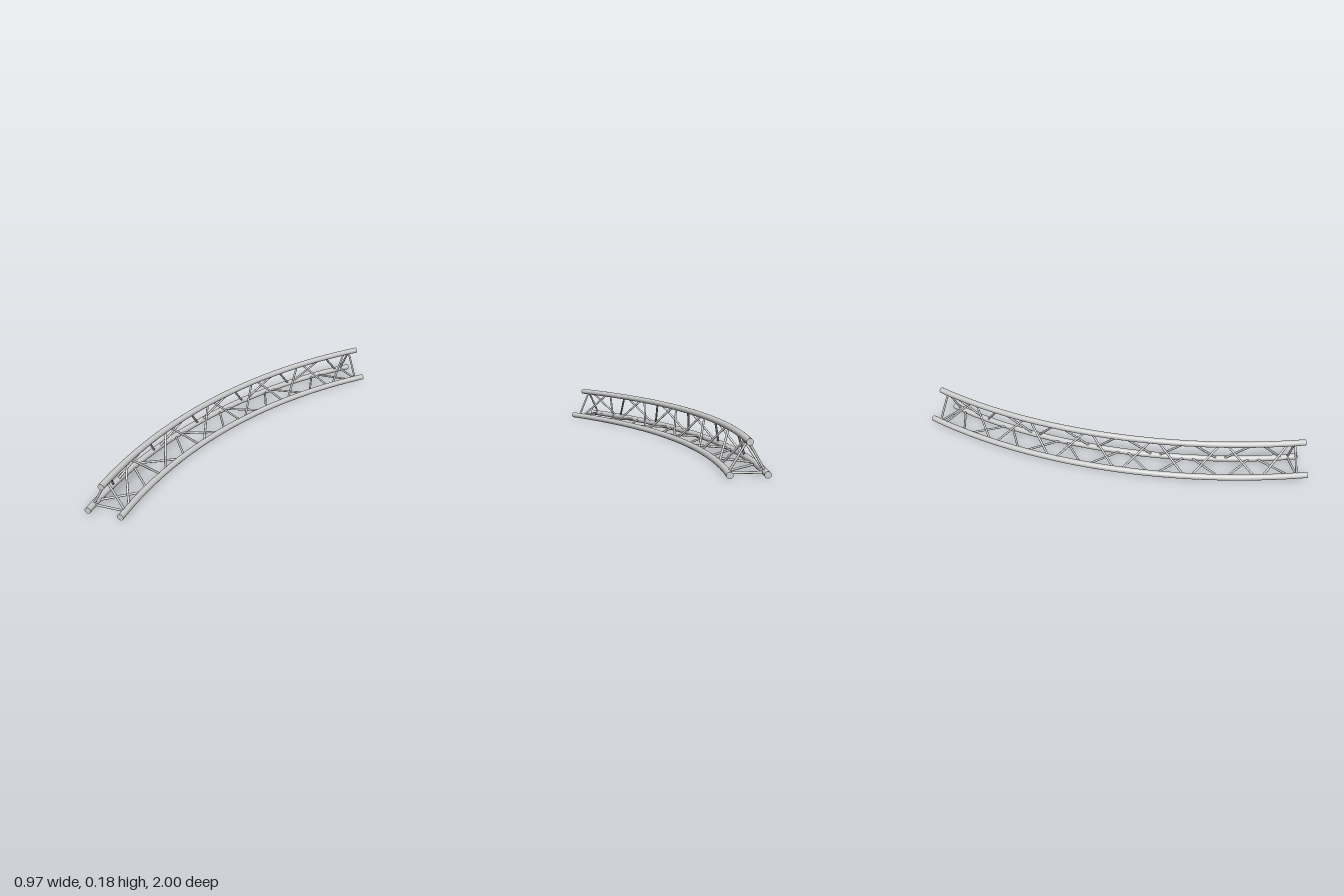
import * as THREE from 'three';

const CENTER_X = 2.342, START_Z = 1, SWEEP = Math.PI / 4;
const TUBE_R = 0.0163, BRACE_R = 0.0058;

// The three chords: radius of the bend and height
const CHORDS = {
  outer: { radius: 2.812, y: 0.0165 },
  upper: { radius: 2.728, y: 0.1675 },
  inner: { radius: 2.64, y: 0.0165 },
};

// Point on a chord at an angle along the bend
function pointOn({ radius, y }, angle) {
  return new THREE.Vector3(
    CENTER_X - radius * Math.cos(angle), y, START_Z - radius * Math.sin(angle));
}

class ChordArc extends THREE.Curve {
  constructor(chord) {
    super();
    this.chord = chord;
  }
  getPoint(t, target = new THREE.Vector3()) {
    return target.copy(pointOn(this.chord, t * SWEEP));
  }
  getTangent(t, target = new THREE.Vector3()) {
    return target.set(Math.sin(t * SWEEP), 0, -Math.cos(t * SWEEP));
  }
}

export function createModel() {
  const model = new THREE.Group();
  model.name = 'curvedTriangularTruss';
  const material = new THREE.MeshStandardMaterial({ color: 0xcccccc });

  function add(parent, name, geometry) {
    const mesh = new THREE.Mesh(geometry, material);
    mesh.name = name;
    parent.add(mesh);
    return mesh;
  }

  // Straight round bar between two points
  function bar(parent, name, a, b) {
    const mesh = add(parent, name,
      new THREE.CylinderGeometry(BRACE_R, BRACE_R, a.distanceTo(b), 12));
    mesh.position.lerpVectors(a, b, 0.5);
    mesh.quaternion.setFromUnitVectors(
      new THREE.Vector3(0, 1, 0), b.clone().sub(a).normalize());
  }

  // Main chords with closed ends
  for (const [name, chord] of Object.entries(CHORDS)) {
    const group = new THREE.Group();
    group.name = name + 'Chord';
    model.add(group);
    const arc = new ChordArc(chord);
    add(group, 'tube', new THREE.TubeGeometry(arc, 48, TUBE_R, 24));
    for (const t of [0, 1]) {
      const cap = add(group, 'endCap', new THREE.CircleGeometry(TUBE_R, 24));
      const outward = arc.getTangent(t).multiplyScalar(t ? 1 : -1);
      cap.position.copy(arc.getPoint(t));
      cap.quaternion.setFromUnitVectors(new THREE.Vector3(0, 0, 1), outward);
    }
  }

  // Each face is laced between two chords; the first starts earlier on even panels
  const faces = [
    ['innerFace', CHORDS.inner, CHORDS.upper],
    ['outerFace', CHORDS.upper, CHORDS.outer],
    ['bottomFace', CHORDS.outer, CHORDS.inner],
  ];
  const panels = 11, pitch = 0.0665, halfSpan = 0.027, frameInset = 0.0205;

  for (const [name, a, b] of faces) {
    const group = new THREE.Group();
    group.name = name;
    model.add(group);

    // Zigzag diagonals
    for (let i = 0; i < panels; i++) {
      const middle = SWEEP / 2 + (i - (panels - 1) / 2) * pitch;
      const lean = i % 2 ? -halfSpan : halfSpan;
      bar(group, 'diagonalBrace', pointOn(a, middle - lean), pointOn(b, middle + lean));
    }

    // Cross bars of the end frames
    for (const angle of [frameInset, SWEEP - frameInset]) {
      bar(group, 'endFrameBar', pointOn(a, angle), pointOn(b, angle));
    }
  }

  return model;
}
